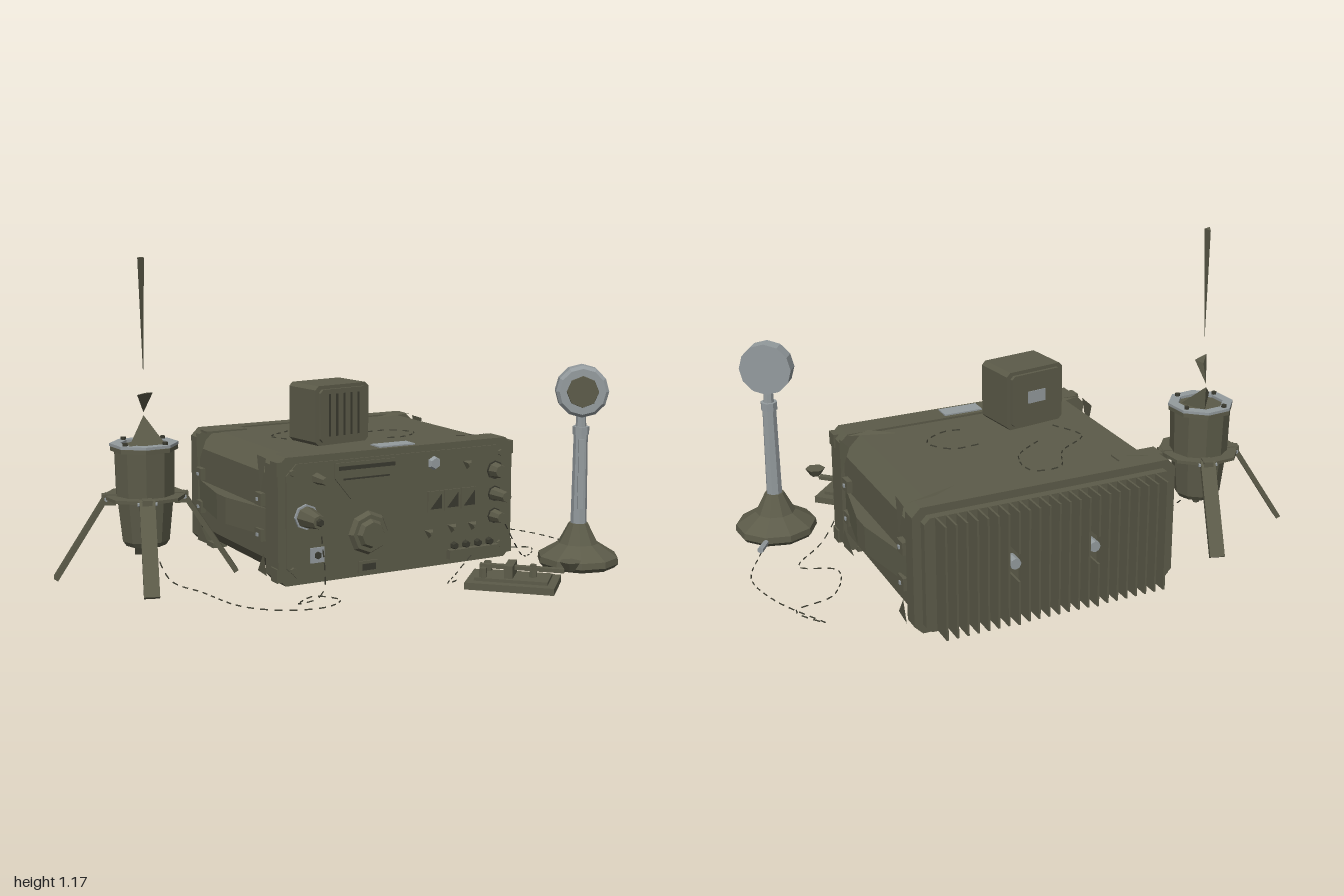
import * as THREE from 'three';

const mat = (name, color) => new THREE.MeshStandardMaterial({ name, color });

export function createModel() {
  const green = mat('olive', 0x5c5b49), grey = mat('steel', 0x949b9e), dark = mat('darkOlive', 0x3a3a2f);
  green.side = THREE.DoubleSide;
  const root = new THREE.Group();
  root.name = 'fieldRadioSet';

  const group = (name, x = 0, y = 0, z = 0, ry = 0, parent = root) => {
    const g = new THREE.Group();
    g.name = name;
    g.position.set(x, y, z);
    g.rotation.y = ry;
    parent.add(g);
    return g;
  };
  // Faceted mesh helper
  const add = (parent, name, geo, m, x = 0, y = 0, z = 0) => {
    const g = geo.index ? geo.toNonIndexed() : geo;
    g.computeVertexNormals();
    const mesh = new THREE.Mesh(g, m);
    mesh.name = name;
    mesh.position.set(x, y, z);
    parent.add(mesh);
    return mesh;
  };
  const box = (p, name, m, w, h, d, x, y, z) => add(p, name, new THREE.BoxGeometry(w, h, d), m, x, y, z);
  const cyl = (p, name, m, rTop, rBot, h, n, x, y, z) => add(p, name, new THREE.CylinderGeometry(rTop, rBot, h, n), m, x, y, z);
  // Cylinder facing forward, starting at z
  const knob = (p, name, m, rFront, rBack, len, n, x, y, z) => {
    const k = cyl(p, name, m, rFront, rBack, len, n, x, y, z + len / 2);
    k.rotation.x = Math.PI / 2;
    return k;
  };
  const poly = (pts) => new THREE.Shape(pts.map(([x, y]) => new THREE.Vector2(x, y)));
  const extrude = (pts, depth) => new THREE.ExtrudeGeometry(poly(pts), { depth, bevelEnabled: false });
  const cutRect = (x0, x1, y0, y1, c) => [[x0 + c, y0], [x1 - c, y0], [x1, y0 + c], [x1, y1 - c],
    [x1 - c, y1], [x0 + c, y1], [x0, y1 - c], [x0, y0 + c]];
  const tris = (p, name, m, ...pts) => {
    const g = new THREE.BufferGeometry();
    g.setAttribute('position', new THREE.Float32BufferAttribute(pts.flat(), 3));
    return add(p, name, g, m);
  };

  // Radio case
  const radio = group('radio');
  const CX = 0.148;
  add(radio, 'caseBody', extrude(cutRect(-0.33, 0.626, 0.03, 0.472, 0.065), 0.66), green, 0, 0, -0.57);
  add(radio, 'frontFrame', extrude(cutRect(-0.345, 0.64, 0.02, 0.48, 0.03), 0.1), green, 0, 0, 0.075);
  add(radio, 'rearFrame', extrude(cutRect(-0.34, 0.636, 0.025, 0.478, 0.03), 0.06), green, 0, 0, -0.61);
  add(radio, 'rearPlate', extrude(cutRect(-0.31, 0.606, 0.04, 0.45, 0.02), 0.03), green, 0, 0, -0.64);
  for (const x of [-0.27, 0.56]) for (const z of [-0.53, 0.1]) box(radio, 'foot', green, 0.06, 0.02, 0.06, x, 0.02, z);

  // Heat sink fins, cut out around the rear sockets
  for (let i = 0; i < 23; i++) {
    const x = -0.245 + i * 0.0368;
    const gap = i === 7 || i === 15;
    if (gap) for (const [y, h] of [[0.12, 0.16], [0.375, 0.15]]) box(radio, 'fin', green, 0.007, h, 0.09, x, y, -0.675);
    else box(radio, 'fin', green, 0.007, 0.405, 0.09, x, 0.247, -0.675);
  }
  for (const [x, y] of [[0.012, 0.25], [0.307, 0.25]]) knob(radio, 'rearSocket', grey, 0.02, 0.02, 0.05, 8, x, y, -0.69);

  // Side straps, brackets and corner flaps, mirrored about the case centre
  for (const s of [-1, 1]) {
    const side = group(s > 0 ? 'leftSide' : 'rightSide', CX);
    const X = 0.48 * s;
    const strap = add(side, 'carryStrap', extrude([[X, 0.55], [X + 0.05 * s, 0.27], [X + 0.05 * s, 0.19], [X, -0.07]], 0.1), green, 0, 0.28, 0);
    strap.rotation.x = Math.PI / 2;
    strap.scale.y = -1;
    strap.position.y = 0.28;
    for (const z of [0.02, -0.52]) {
      for (const y of [0.18, 0.31]) {
        box(side, 'strapBracket', green, 0.025, 0.045, 0.05, X + 0.006 * s, y, z);
        box(side, 'bracketBolt', grey, 0.012, 0.012, 0.012, X + 0.018 * s, y, z);
      }
      const d = z > 0 ? -1 : 1;
      const e = z > 0 ? 0.08 : -0.55;
      // Triangular corner flaps on the side and top
      tris(side, 'sideFlap', green, [X + 0.012 * s, 0.465, e], [X + 0.005 * s, 0.465, e + 0.09 * d], [X + 0.02 * s, 0.34, e + 0.03 * d]);
      tris(side, 'lowerFlap', green, [X + 0.012 * s, 0.04, e], [X + 0.005 * s, 0.04, e + 0.09 * d], [X + 0.015 * s, 0.12, e + 0.02 * d]);
      tris(side, 'topFlap', green, [X, 0.474, e], [X - 0.1 * s, 0.482, e], [X - 0.19 * s, 0.476, e + 0.06 * d]);
    }
    for (const y of [0.06, 0.44]) box(side, 'frameLatch', green, 0.02, 0.05, 0.05, X + 0.008 * s, y, 0.15);
  }
  box(radio, 'topPlate', green, 0.17, 0.008, 0.065, -0.24, 0.474, -0.52);
  box(radio, 'namePlate', grey, 0.15, 0.006, 0.064, 0.148, 0.482, 0.124);

  // Front panel
  const panel = group('frontPanel', 0, 0, 0.175);
  add(panel, 'panelPlate', extrude(cutRect(-0.315, 0.61, 0.045, 0.455, 0.04), 0.006), green);
  add(panel, 'speakerCover', extrude([[-0.125, 0.445], [-0.125, 0.39], [-0.06, 0.31], [0.085, 0.31], [0.13, 0.39], [0.13, 0.445]], 0.012), green);
  box(panel, 'speakerSlot', dark, 0.23, 0.014, 0.004, 0.005, 0.425, 0.013);
  box(panel, 'speakerSlot', dark, 0.19, 0.006, 0.004, 0.003, 0.385, 0.013);
  knob(panel, 'tuningDial', green, 0.07, 0.085, 0.025, 8, 0.013, 0.18, 0);
  knob(panel, 'tuningKnob', green, 0.045, 0.055, 0.02, 8, 0.013, 0.18, 0.025);
  box(panel, 'dialWindowFrame', green, 0.08, 0.045, 0.012, 0.013, 0.055, 0.006);
  box(panel, 'dialWindow', dark, 0.055, 0.024, 0.004, 0.013, 0.055, 0.013);
  knob(panel, 'socketRing', grey, 0.046, 0.046, 0.012, 8, -0.24, 0.265, 0.004);
  knob(panel, 'cablePlug', green, 0.024, 0.04, 0.1, 8, -0.24, 0.265, 0.012);
  knob(panel, 'plugTip', dark, 0.012, 0.015, 0.015, 6, -0.24, 0.265, 0.11);
  knob(panel, 'upperPlug', green, 0.014, 0.022, 0.075, 6, -0.195, 0.398, 0);
  box(panel, 'socketPlate', grey, 0.055, 0.055, 0.008, -0.195, 0.122, 0.008);
  knob(panel, 'socketPin', dark, 0.014, 0.014, 0.012, 6, -0.195, 0.122, 0.006);
  knob(panel, 'indicatorLamp', grey, 0.02, 0.03, 0.02, 6, 0.29, 0.41, 0);
  for (const [y, r, l] of [[0.36, 0.036, 0.04], [0.27, 0.03, 0.08], [0.185, 0.03, 0.05]]) {
    knob(panel, 'controlBase', dark, r, r, 0.01, 8, 0.56, y, 0);
    knob(panel, 'controlKnob', green, r * 0.65, r * 0.85, l, 8, 0.56, y, 0.01);
  }
  for (let i = 0; i < 3; i++) {
    const x = 0.296 + i * 0.073;
    box(panel, 'selectorFrame', green, 0.066, 0.078, 0.012, x, 0.266, 0.006);
    tris(panel, 'selectorWindow', dark, [x - 0.025, 0.238, 0.014], [x + 0.025, 0.238, 0.014], [x + 0.025, 0.294, 0.014]);
  }
  for (const [x, y] of [[0.435, 0.395], [0.27, 0.15], [0.37, 0.16], [0.46, 0.16]]) {
    knob(panel, 'toggle', green, 0.008, 0.026, 0.025, 3, x, y, 0);
  }
  box(panel, 'connectorStrip', green, 0.22, 0.035, 0.03, 0.46, 0.06, 0.015);
  for (let i = 0; i < 4; i++) knob(panel, 'connector', dark, 0.012, 0.016, 0.02, 6, 0.38 + i * 0.052, 0.09, 0.004);
  for (const x of [-0.29, 0.585]) for (const y of [0.075, 0.425]) knob(panel, 'panelBolt', green, 0.012, 0.014, 0.014, 6, x, y, 0);

  // Loudspeaker box on the case
  const speaker = group('loudspeaker', -0.022, 0.48, -0.054, 0.14);
  const shell = add(speaker, 'speakerShell', extrude(cutRect(-0.12, 0.12, 0.005, 0.223, 0.014), 0.165), green, 0, 0, -0.082);
  shell.name = 'speakerShell';
  add(speaker, 'speakerFace', extrude(cutRect(-0.105, 0.105, 0.018, 0.21, 0.012), 0.012), green, 0, 0, 0.083);
  add(speaker, 'speakerBack', extrude(cutRect(-0.105, 0.105, 0.018, 0.21, 0.012), 0.012), green, 0, 0, -0.094);
  for (let i = 0; i < 5; i++) box(speaker, 'grilleSlot', dark, 0.008, 0.155, 0.004, -0.064 + i * 0.032, 0.115, 0.095);
  box(speaker, 'speakerLabel', grey, 0.075, 0.045, 0.004, 0, 0.12, -0.095);

  // Antenna mount with four splayed legs
  const mast = group('antennaMount', -0.678, 0, -0.235, -0.31);
  cyl(mast, 'mountBody', green, 0.112, 0.108, 0.18, 10, 0, 0.395, 0);
  cyl(mast, 'mountCup', green, 0.105, 0.088, 0.16, 10, 0, 0.228, 0);
  cyl(mast, 'cupRim', green, 0.088, 0.075, 0.02, 10, 0, 0.14, 0);
  cyl(mast, 'cableOutlet', green, 0.03, 0.012, 0.045, 6, 0, 0.115, 0);
  cyl(mast, 'legCollar', green, 0.155, 0.155, 0.012, 8, 0, 0.31, 0);
  cyl(mast, 'topFlange', green, 0.122, 0.122, 0.015, 8, 0, 0.485, 0);
  const ring = poly(Array.from({ length: 8 }, (_, i) => [0.124 * Math.cos(i * Math.PI / 4), 0.124 * Math.sin(i * Math.PI / 4)]));
  ring.holes.push(new THREE.Path().absarc(0, 0, 0.085, 0, Math.PI * 2, true));
  add(mast, 'topRing', new THREE.ExtrudeGeometry(ring, { depth: 0.01, bevelEnabled: false, curveSegments: 4 }), grey, 0, 0.494, 0).rotation.x = -Math.PI / 2;
  for (let i = 0; i < 4; i++) {
    const arm = group('legAssembly', 0, 0, 0, i * Math.PI / 2, mast);
    const leg = box(arm, 'leg', green, 0.355, 0.018, 0.055, 0.23, 0.166, 0);
    leg.rotation.z = -Math.atan2(0.3, 0.19);
    box(arm, 'legHinge', green, 0.05, 0.04, 0.035, 0.13, 0.3, 0);
    cyl(arm, 'hingeBolt', grey, 0.008, 0.008, 0.07, 6, 0.14, 0.305, 0).rotation.x = Math.PI / 2;
    const bolt = group('ringBolt', 0, 0, 0, Math.PI / 4, arm);
    cyl(bolt, 'boltHead', dark, 0.01, 0.01, 0.012, 6, 0.1, 0.508, 0);
  }

  // Antenna base wedge and whip blades
  const whip = group('antenna');
  const spike = (name, a, b, c, tip) => tris(whip, name, green, a, b, c, a, tip, b, b, tip, c, c, tip, a);
  spike('antennaBase', [-0.765, 0.5, -0.16], [-0.61, 0.5, -0.21], [-0.645, 0.5, -0.315], [-0.65, 0.59, -0.31]);
  spike('antennaJoint', [-0.71, 0.68, -0.21], [-0.635, 0.68, -0.25], [-0.65, 0.675, -0.285], [-0.65, 0.6, -0.31]);
  spike('antennaWhip', [-0.7, 1.165, -0.207], [-0.67, 1.165, -0.22], [-0.672, 1.165, -0.257], [-0.668, 0.735, -0.257]);

  // Desk microphone
  const mic = group('microphone', 0.807, 0, 0.378, -0.555);
  const basePts = [[0, 0.01], [0.14, 0.01], [0.153, 0.025], [0.15, 0.048], [0.075, 0.095], [0.036, 0.17], [0, 0.17]];
  add(mic, 'microphoneBase', new THREE.LatheGeometry(basePts.map(([x, y]) => new THREE.Vector2(x, y)), 10), green);
  cyl(mic, 'stem', grey, 0.026, 0.03, 0.36, 8, 0, 0.35, 0);
  cyl(mic, 'stemCollar', grey, 0.031, 0.031, 0.03, 8, 0, 0.52, 0);
  cyl(mic, 'neck', grey, 0.018, 0.02, 0.06, 8, 0, 0.555, 0);
  box(mic, 'talkSwitch', grey, 0.02, 0.26, 0.014, 0, 0.36, 0.034);
  knob(mic, 'microphoneHead', grey, 0.097, 0.097, 0.054, 12, 0, 0.668, -0.027);
  knob(mic, 'headRim', grey, 0.085, 0.097, 0.012, 12, 0, 0.668, 0.027);
  knob(mic, 'headGrille', green, 0.058, 0.06, 0.006, 8, 0, 0.668, 0.037);
  const stub = knob(root, 'cableStub', grey, 0.01, 0.012, 0.1, 6, 0.895, 0.032, 0.185);
  stub.rotation.set(Math.PI / 2, 0, 0.6);

  // Telegraph key
  const key = group('telegraphKey', 0.415, 0, 0.516, -0.77);
  box(key, 'keyBoard', green, 0.315, 0.025, 0.198, 0, 0.024, 0);
  box(key, 'keyPlate', green, 0.26, 0.012, 0.13, 0, 0.042, 0);
  box(key, 'keyLever', green, 0.3, 0.014, 0.024, 0.03, 0.078, 0);
  box(key, 'pivotBlock', green, 0.03, 0.05, 0.1, -0.01, 0.068, 0);
  for (const s of [-1, 1]) cyl(key, 'terminal', green, 0.014, 0.016, 0.04, 6, -0.1, 0.062, 0.05 * s);
  cyl(key, 'contactPost', green, 0.012, 0.016, 0.05, 6, 0.07, 0.068, 0);
  cyl(key, 'keyKnob', green, 0.04, 0.02, 0.03, 6, 0.2, 0.098, 0);

  // Cables laid as short thin pieces along curves
  const cable = (name, pts) => {
    const g = group(name);
    const curve = new THREE.CatmullRomCurve3(pts.map((p) => new THREE.Vector3(...p)));
    const n = Math.max(6, Math.round(curve.getLength() / 0.05));
    for (let i = 0; i < n; i++) {
      const a = curve.getPointAt(i / n), b = curve.getPointAt((i + 0.55) / n);
      add(g, 'cablePiece', new THREE.TubeGeometry(new THREE.LineCurve3(a, b), 1, 0.0028, 3), dark);
    }
  };
  cable('antennaCable', [[-0.66, 0.11, -0.2], [-0.64, 0.02, -0.1], [-0.58, 0.004, 0.05], [-0.53, 0.004, 0.28], [-0.42, 0.004, 0.39],
    [-0.28, 0.004, 0.42], [-0.2, 0.004, 0.36], [-0.26, 0.004, 0.28], [-0.35, 0.004, 0.34], [-0.3, 0.05, 0.42], [-0.24, 0.24, 0.3]]);
  cable('microphoneCable', [[0.92, 0.02, 0.2], [1.0, 0.004, 0.05], [0.97, 0.004, -0.15], [0.86, 0.004, -0.37], [0.93, 0.004, -0.25],
    [0.78, 0.004, -0.2], [0.7, 0.004, -0.02], [0.82, 0.004, 0.06], [0.68, 0.02, 0.2], [0.56, 0.18, 0.24]]);
  cable('speakerCable', [[-0.1, 0.476, -0.15], [-0.15, 0.476, -0.28], [-0.02, 0.476, -0.38], [0.05, 0.476, -0.5], [0.15, 0.476, -0.49],
    [0.14, 0.476, -0.36], [0.0, 0.476, -0.25]]);
  cable('coiledCable', [[0.22, 0.476, -0.2], [0.32, 0.476, -0.2], [0.38, 0.476, -0.11], [0.29, 0.476, -0.04], [0.2, 0.476, -0.05]]);
  cable('keyCable', [[0.24, 0.03, 0.42], [0.24, 0.004, 0.36], [0.35, 0.004, 0.25], [0.46, 0.06, 0.2]]);
  return root;
}
